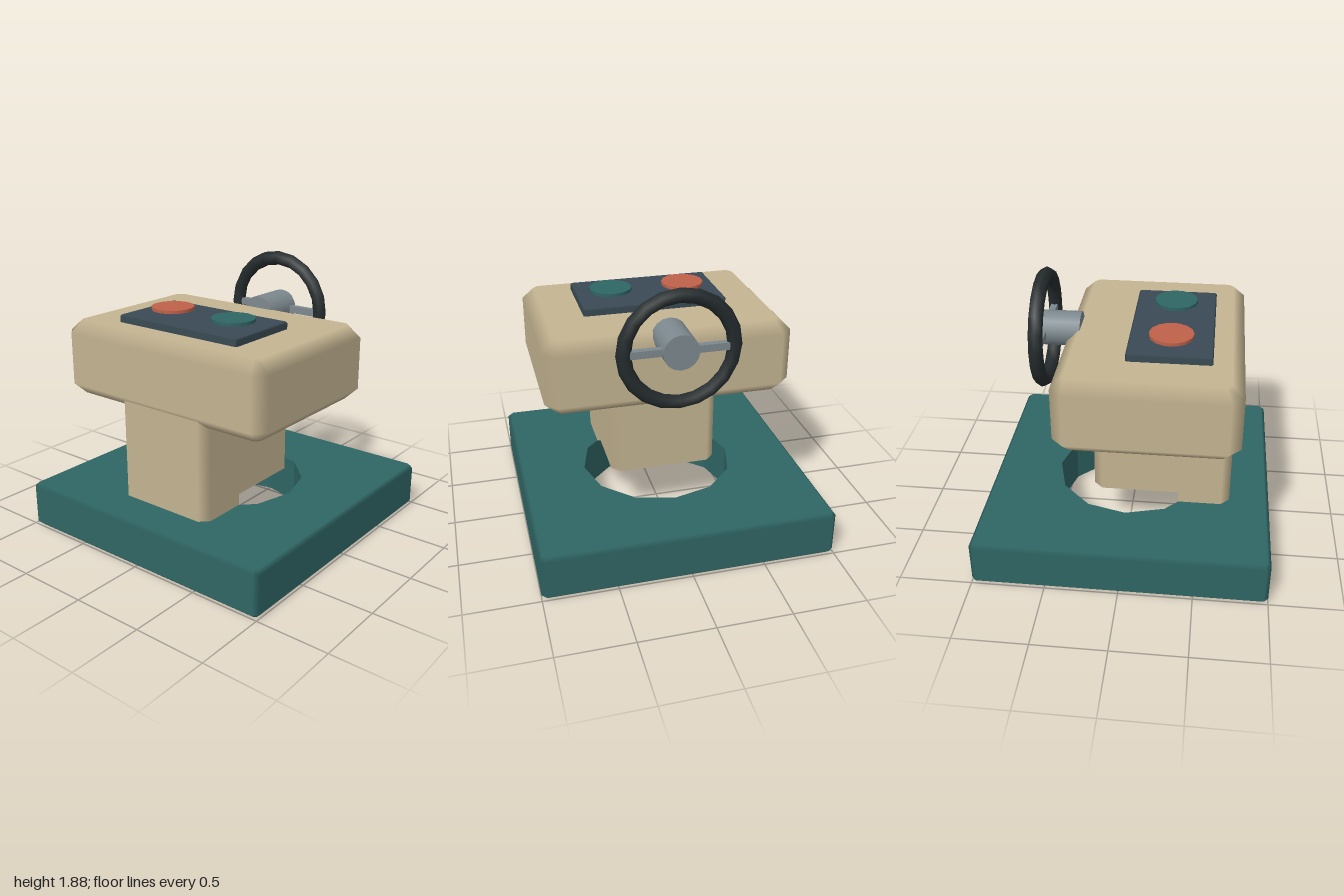
import * as THREE from 'three';

const material = (color) => new THREE.MeshStandardMaterial({ color });
const beige = material(0xc4b491);
const teal = material(0x2f6664);
const slate = material(0x3a4a54);
const black = material(0x252c2e);
const steel = material(0x7d898f);
const red = material(0xc0614a);

// Shade chamfers softly: each chamfer corner takes the normal of the flat side it touches.
function softenChamfers(geo) {
  geo.computeVertexNormals();
  geo.computeBoundingBox();
  const half = geo.boundingBox.max.toArray();
  const { position, normal } = geo.attributes;
  const p = new THREE.Vector3(), n = new THREE.Vector3();
  for (let i = 0; i < position.count; i++) {
    p.fromBufferAttribute(position, i);
    n.fromBufferAttribute(normal, i);
    if (n.toArray().some((v) => Math.abs(v) > 0.99)) continue;
    for (let axis = 0; axis < 3; axis++) {
      const v = p.getComponent(axis);
      if (Math.abs(v) > half[axis] - 1e-4 && n.getComponent(axis) * Math.sign(v) > 0.3) {
        n.set(0, 0, 0).setComponent(axis, Math.sign(v));
        normal.setXYZ(i, n.x, n.y, n.z);
        break;
      }
    }
  }
  return geo;
}

// Upright block with cut corners (front/back), optional chamfered rims and a round hole.
function block(w, h, d, { front = 0, back = front, rim = 0, hole = 0 }) {
  const x = w / 2, z = d / 2;
  const corner = (cx, cz, c) => [[cx, cz - Math.sign(cz) * c], [cx - Math.sign(cx) * c, cz]];
  const cut = (cx, cz, c, flip) => {
    const pts = c ? corner(cx, cz, c) : [[cx, cz]];
    return flip ? pts.reverse() : pts;
  };
  const outline = [
    ...cut(x, z, front, false), ...cut(-x, z, front, true),
    ...cut(-x, -z, back, false), ...cut(x, -z, back, true),
  ].map(([a, b]) => new THREE.Vector2(a, b));
  const shape = new THREE.Shape(outline);
  if (hole) {
    const ring = [];
    for (let i = 0; i < 12; i++) {
      const a = (-i / 12) * Math.PI * 2;
      ring.push(new THREE.Vector2(Math.cos(a) * hole, Math.sin(a) * hole));
    }
    shape.holes.push(new THREE.Path(ring));
  }
  const geo = new THREE.ExtrudeGeometry(shape, {
    depth: h - 2 * rim, bevelEnabled: rim > 0, bevelSegments: 1,
    bevelSize: rim, bevelThickness: rim, bevelOffset: -rim,
  });
  geo.rotateX(Math.PI / 2).center();
  // keep the hole wall straight from rim to rim
  if (hole) {
    const pos = geo.attributes.position;
    for (let i = 0; i < pos.count; i++) {
      const r = Math.hypot(pos.getX(i), pos.getZ(i));
      if (r < hole * 1.2) {
        pos.setX(i, (pos.getX(i) * hole) / r);
        pos.setZ(i, (pos.getZ(i) * hole) / r);
      }
    }
  }
  return softenChamfers(geo);
}

export function createModel() {
  const model = new THREE.Group();
  model.name = 'controlPedestal';
  const add = (name, geo, mat, x, y, z, parent = model) => {
    const mesh = new THREE.Mesh(geo, mat);
    mesh.name = name;
    mesh.position.set(x, y, z);
    parent.add(mesh);
    return mesh;
  };

  // Base plate with a twelve-sided opening
  add('basePlate', block(2, 0.32, 2, { front: 0.03, rim: 0.025, hole: 0.54 }), teal, 0, 0.16, 0);

  // Column overhanging the opening, standing on a front foot
  add('column', block(0.75, 0.68, 0.96, { front: 0.06 }), beige, 0, 0.74, 0.24);
  add('columnFoot', block(0.75, 0.08, 0.36, { front: 0.06, back: 0 }), beige, 0, 0.36, 0.54);

  // Console head
  add('consoleHead', block(1.68, 0.52, 1.2, { front: 0.08, rim: 0.08 }), beige, 0, 1.24, 0.16);

  // Control panel and its two buttons
  add('controlPanel', block(1, 0.06, 0.555, { front: 0.01, rim: 0.01 }), slate, 0, 1.52, 0.278);
  for (const [name, mat, x] of [['rightButton', red, -0.26], ['leftButton', teal, 0.26]]) {
    add(name, new THREE.CylinderGeometry(0.148, 0.148, 0.022, 14), mat, x, 1.583, 0.278);
  }

  // Hand wheel on the back
  const wheel = new THREE.Group();
  wheel.name = 'handWheel';
  wheel.position.set(0, 1.463, -0.6);
  model.add(wheel);
  add('wheelRim', new THREE.TorusGeometry(0.363, 0.05, 6, 20), black, 0, 0, 0, wheel);
  const hub = new THREE.CylinderGeometry(0.12, 0.12, 0.3, 16).rotateX(Math.PI / 2);
  add('wheelHub', hub, steel, 0, 0, 0.1, wheel);
  for (const side of [-1, 1]) {
    add(side > 0 ? 'leftSpoke' : 'rightSpoke', new THREE.BoxGeometry(0.29, 0.05, 0.045), steel, side * 0.225, 0, 0, wheel);
  }
  return model;
}
